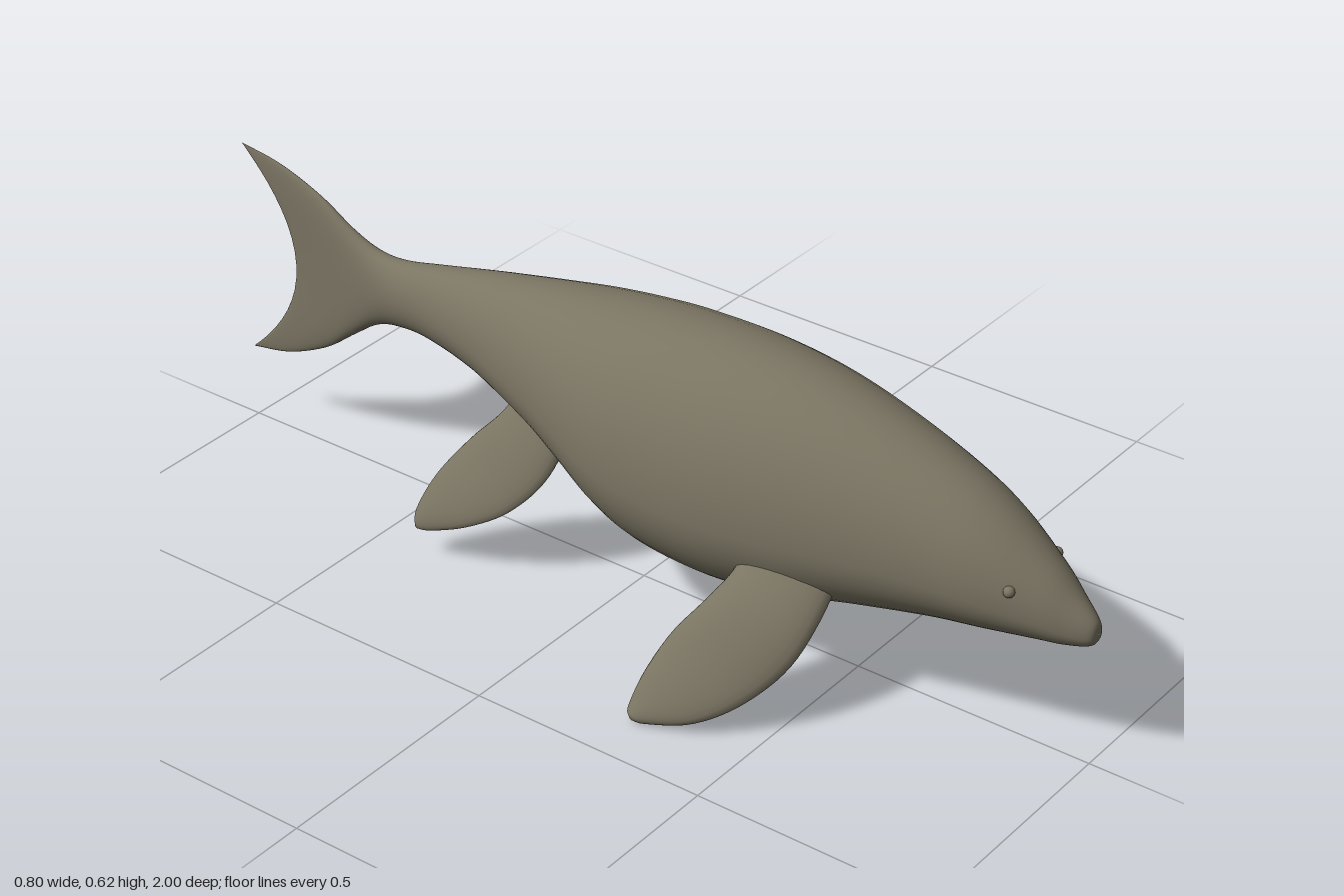
import * as THREE from 'three';

const V = (p) => new THREE.Vector3(...p);
const spline = (pts) => new THREE.CatmullRomCurve3(pts.map(V), false, 'catmullrom', 0.5);

// Smooth skin over closed rings; ring(t, angle) returns a point
function loft(rings, sides, ring) {
  const pos = [], idx = [];
  for (let i = 0; i <= rings; i++) {
    for (let j = 0; j < sides; j++) {
      pos.push(...ring(i / rings, (j / sides) * Math.PI * 2));
      if (i === rings) continue;
      const a = i * sides + j, b = i * sides + ((j + 1) % sides);
      idx.push(a, a + sides, b, b, a + sides, b + sides);
    }
  }
  const g = new THREE.BufferGeometry();
  g.setAttribute('position', new THREE.Float32BufferAttribute(pos, 3));
  g.setIndex(idx);
  g.computeVertexNormals();
  return g;
}

// Body sections: z, top, bottom, half width, backward sweep of the upper and lower edge
const SECTIONS = [
  [1.0, 0.282, 0.278, 0.002, 0],
  [0.992, 0.307, 0.256, 0.022, 0],
  [0.95, 0.345, 0.245, 0.047, 0],
  [0.9, 0.39, 0.24, 0.07, 0],
  [0.8, 0.462, 0.228, 0.107, 0],
  [0.7, 0.512, 0.214, 0.131, 0],
  [0.55, 0.563, 0.182, 0.162, 0],
  [0.4, 0.598, 0.146, 0.188, 0],
  [0.25, 0.612, 0.126, 0.204, 0],
  [0.1, 0.61, 0.138, 0.204, 0],
  [0.0, 0.601, 0.176, 0.194, 0],
  [-0.1, 0.589, 0.235, 0.168, 0],
  [-0.2, 0.573, 0.28, 0.135, 0],
  [-0.35, 0.545, 0.33, 0.092, 0],
  [-0.5, 0.513, 0.353, 0.057, 0],
  [-0.59, 0.495, 0.35, 0.042, 0],
  [-0.64, 0.498, 0.332, 0.034, 0.015],
  [-0.69, 0.525, 0.287, 0.027, 0.03],
  [-0.74, 0.573, 0.228, 0.02, 0.06],
  [-0.8, 0.61, 0.182, 0.013, 0.1],
  [-0.86, 0.624, 0.163, 0.006, 0.13],
  [-0.87, 0.625, 0.162, 0.0005, 0.13],
];

// Body and crescent tail in one skin
function bodyGeometry() {
  const outline = spline(SECTIONS.map(([z, top, bot]) => [z, top, bot]));
  const extra = spline(SECTIONS.map(([, , , w, sweep]) => [w, sweep, 0]));
  return loft(120, 48, (t, a) => {
    const { x: z, y: top, z: bot } = outline.getPoint(t);
    const { x: w, y: sweep } = extra.getPoint(t);
    const cy = bot + (top - bot) * (z > -0.3 ? 0.4 : 0.5 - 0.1 * Math.max(0, 1 + (z + 0.3) / 0.3));
    const s = Math.sin(a);
    const y = cy + s * (s > 0 ? top - cy : cy - bot);
    return [Math.cos(a) * w, y, z - sweep * s * s];
  });
}

// Flipper spanned between a leading and a trailing edge
function flipperGeometry(lead, trail, thickness, side) {
  const flip = ([x, y, z]) => [x * side, y, z];
  const L = spline(lead.map(flip)), T = spline(trail.map(flip));
  const mid = (t) => L.getPoint(t).add(T.getPoint(t)).multiplyScalar(0.5);
  return loft(32, 24, (t, a) => {
    const c = mid(t);
    const u = L.getPoint(t).sub(T.getPoint(t)).multiplyScalar(0.5);
    const span = mid(Math.min(1, t + 0.02)).sub(mid(Math.max(0, t - 0.02)));
    const n = u.clone().cross(span).normalize().multiplyScalar(thickness * Math.sqrt(1 - t) + 0.0005);
    return c.addScaledVector(u, Math.cos(a)).addScaledVector(n, Math.sin(a)).toArray();
  });
}

const FLIPPERS = {
  frontFlipper: {
    lead: [[0.08, 0.28, 0.52], [0.17, 0.2, 0.525], [0.24, 0.125, 0.505], [0.31, 0.062, 0.45],
      [0.36, 0.022, 0.38], [0.39, 0.005, 0.3], [0.396, 0.005, 0.272]],
    trail: [[0.1, 0.32, 0.34], [0.18, 0.255, 0.345], [0.25, 0.215, 0.33], [0.3, 0.155, 0.292],
      [0.35, 0.085, 0.267], [0.385, 0.025, 0.258], [0.396, 0.008, 0.268]],
    thickness: 0.034,
  },
  rearFlipper: {
    lead: [[0.06, 0.32, -0.12], [0.12, 0.225, -0.14], [0.162, 0.15, -0.2], [0.19, 0.1, -0.28],
      [0.203, 0.067, -0.36], [0.206, 0.06, -0.395]],
    trail: [[0.04, 0.38, -0.24], [0.085, 0.31, -0.275], [0.115, 0.245, -0.33], [0.155, 0.17, -0.38],
      [0.192, 0.1, -0.404], [0.206, 0.063, -0.4]],
    thickness: 0.026,
  },
};

export function createModel() {
  const skin = new THREE.MeshStandardMaterial({ color: 0x7a7462 });
  skin.name = 'greyBrownSkin';
  const model = new THREE.Group();
  model.name = 'seaCreature';
  const add = (name, geometry) => {
    const mesh = new THREE.Mesh(geometry, skin);
    mesh.name = name;
    model.add(mesh);
    return mesh;
  };

  add('bodyAndTail', bodyGeometry());

  for (const [label, side] of [['Left', 1], ['Right', -1]]) {
    for (const [name, f] of Object.entries(FLIPPERS)) {
      add(name + label, flipperGeometry(f.lead, f.trail, f.thickness, side));
    }
    // Small eye bump set into the head
    add('eye' + label, new THREE.SphereGeometry(0.011, 16, 12)).position.set(side * 0.079, 0.355, 0.86);
  }
  return model;
}
